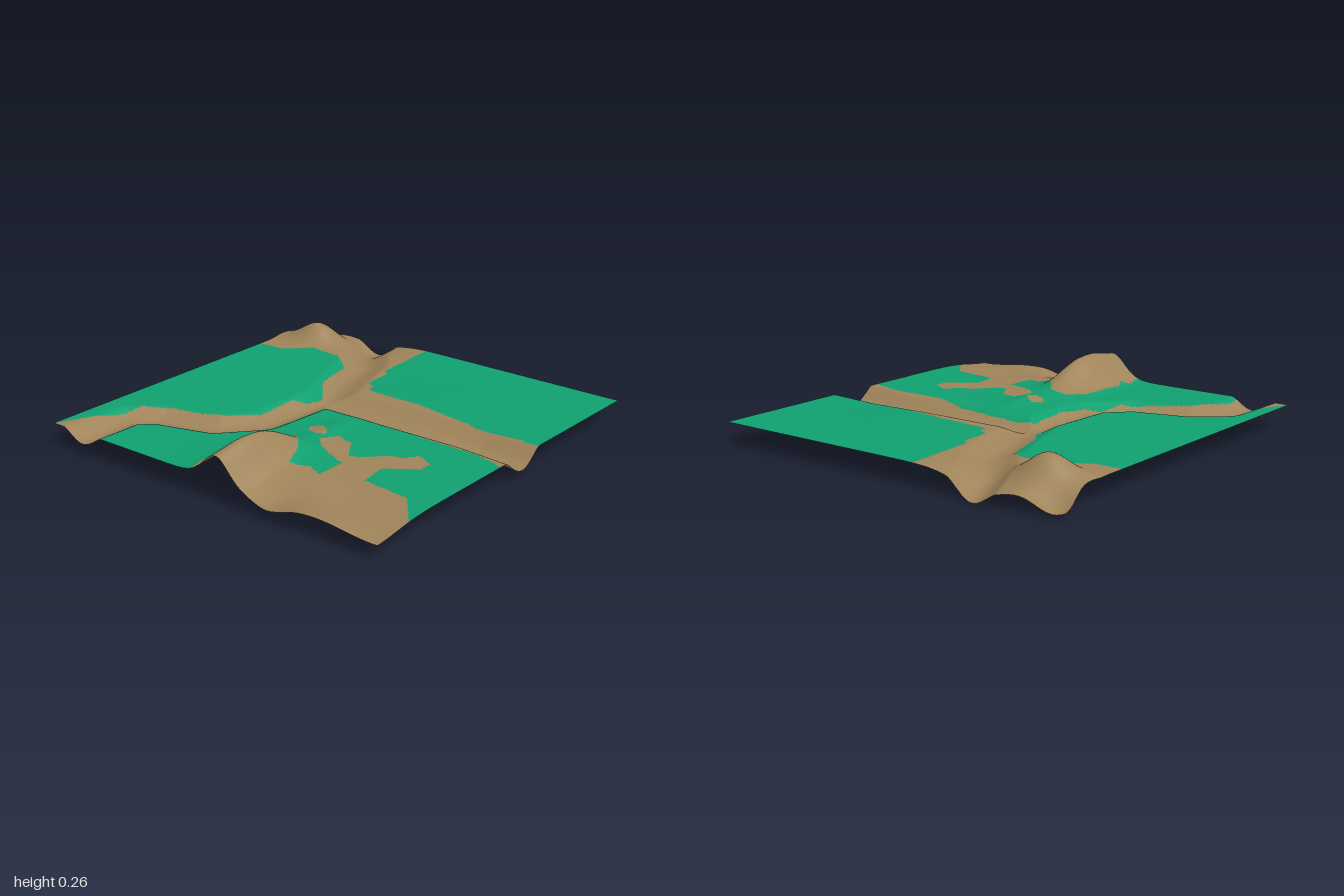
import * as THREE from 'three';

const BASE = 0.119;
const X0 = -0.98, X1 = 0.96, Z0 = -0.965, Z1 = 0.975;
const N = 180;

// Stream centre lines as [x, z, depth], with a half width each
const streams = [
  { w: 0.125, pts: [[-1.05, -0.77, 0.06], [-0.68, -0.76, 0.045], [-0.58, -0.64, 0.045], [-0.5, -0.36, 0.045], [-0.34, -0.21, 0.04], [0.1, -0.185, 0.05]] },
  { w: 0.14, pts: [[0.1, -0.185, 0.05], [0.3, -0.25, 0.035], [0.6, -0.34, 0.045], [0.8, -0.48, 0.05], [1.05, -0.56, 0.05]] },
  { w: 0.14, pts: [[0.1, -0.185, 0.05], [0.11, 0.3, 0.058], [0.12, 0.7, 0.073], [0.09, 1.05, 0.078]] },
];

// Outlines of the bare earth as x, z pairs
const outlines = {
  streamBanks: [
    -1.1, -1.02, -0.98, -0.96, -0.72, -0.85, -0.56, -0.8, -0.48, -0.67, -0.44, -0.51, -0.39, -0.4, -0.32, -0.33, -0.27, -0.29,
    -0.02, -0.29, 0.03, -0.24, 0.13, -0.23, 0.27, -0.34, 0.38, -0.37, 0.52, -0.4, 0.6, -0.51, 0.6, -0.68, 0.5, -0.82, 0.48, -1.1,
    1.1, -1.1, 1.1, -0.2, 0.56, -0.17, 0.55, -0.14, 0.38, -0.13, 0.35, -0.08, 0.3, -0.07, 0.29, 0.24, 0.26, 0.45, 0.24, 0.62,
    0.23, 1.1, -0.1, 1.1, -0.08, 0.975, -0.03, 0.8, -0.03, 0.5, 0.01, 0.32, 0.03, -0.05, 0.01, -0.13, -0.21, -0.12,
    -0.37, -0.16, -0.41, -0.23, -0.53, -0.27, -0.6, -0.4, -0.68, -0.59, -0.77, -0.65, -0.89, -0.68, -1.1, -0.67],
  hillside: [
    -1.1, -0.07, -0.98, -0.07, -0.86, -0.1, -0.84, -0.06, -0.77, -0.09, -0.51, -0.07, -0.43, 0, -0.43, 0.09, -0.5, 0.15, -0.56, 0.2,
    -0.67, 0.24, -0.62, 0.32, -0.65, 0.4, -0.49, 0.4, -0.48, 0.36, -0.42, 0.22, -0.36, 0.16, -0.27, 0.2, -0.29, 0.29,
    -0.41, 0.37, -0.39, 0.42, -0.3, 0.5, -0.27, 0.58, -0.21, 0.62, -0.25, 0.71, -0.33, 0.71, -0.38, 0.63, -0.43, 0.57,
    -0.57, 0.59, -0.6, 0.84, -0.77, 0.975, -0.8, 1.1, -1.1, 1.1],
  smallPatch: [-0.3, 0.04, -0.26, 0.02, -0.22, 0.06, -0.26, 0.12, -0.3, 0.15, -0.33, 0.11],
};

const bump = (x, z, cx, cz, sx, sz) => Math.exp(-(((x - cx) / sx) ** 2) - ((z - cz) / sz) ** 2);

function insidePolygon(p, x, z) {
  let inside = false;
  for (let i = 0, j = p.length - 2; i < p.length; j = i, i += 2) {
    if ((p[i + 1] > z) !== (p[j + 1] > z) &&
      x < ((p[j] - p[i]) * (z - p[i + 1])) / (p[j + 1] - p[i + 1]) + p[i]) inside = !inside;
  }
  return inside;
}

function streamDepth(x, z) {
  let depth = 0;
  for (const { w, pts } of streams) {
    for (let i = 0; i < pts.length - 1; i++) {
      const [ax, az, ad] = pts[i], [bx, bz, bd] = pts[i + 1];
      const dx = bx - ax, dz = bz - az;
      const t = THREE.MathUtils.clamp(((x - ax) * dx + (z - az) * dz) / (dx * dx + dz * dz), 0, 1);
      const d = Math.hypot(x - ax - t * dx, z - az - t * dz) / w;
      if (d < 1) depth = Math.max(depth, (ad + (bd - ad) * t) * (1 - d * d) ** 1.6);
    }
  }
  return depth;
}

function height(x, z) {
  let y = BASE - streamDepth(x, z);
  // Long western hill, steeper on its front side
  const fade = 1 - THREE.MathUtils.smoothstep(x, -0.72, -0.36);
  const side = z > 0.11 ? 0.085 : 0.12;
  y += (0.12 + 0.02 * bump(x, 0, -0.82, 0, 0.12, 1)) * fade * Math.exp(-(((z - 0.11) / side) ** 2));
  y += 0.022 * bump(x, z, -0.6, 0.12, 0.3, 0.2);
  y += 0.015 * bump(x, z, -0.22, 0.12, 0.14, 0.06);
  // Bare ground in the front left corner
  y -= 0.05 * bump(x, z, -1, 0.38, 0.16, 0.13);
  y -= 0.035 * bump(x, z, -1, 0.95, 0.2, 0.2);
  y -= 0.02 * bump(x, z, -0.8, 0.65, 0.15, 0.2);
  // Eastern peak beside its basin
  y += 0.1 * bump(x, z, 0.74, -0.76, 0.1, 0.13);
  y -= 0.06 * bump(x, z, 0.96, -0.58, 0.18, 0.2);
  y -= 0.09 * bump(x, z, 0.94, -0.93, 0.11, 0.12);
  // Slight swell in the eastern meadow
  y += 0.008 * bump(x, z, 0.4, 0.3, 0.15, 0.2);
  return Math.max(y, 0);
}

export function createModel() {
  const grassGreen = new THREE.MeshStandardMaterial({ color: 0x10a070, side: THREE.DoubleSide });
  const earthBrown = new THREE.MeshStandardMaterial({ color: 0xa0845a, side: THREE.DoubleSide });

  const sheet = new THREE.PlaneGeometry(X1 - X0, Z1 - Z0, N, N);
  sheet.rotateX(-Math.PI / 2);
  sheet.translate((X0 + X1) / 2, 0, (Z0 + Z1) / 2);
  const pos = sheet.attributes.position;
  const flat = pos.clone();

  // Raise the sheet and let the bare edges bulge outwards
  for (let i = 0; i < pos.count; i++) {
    const x = pos.getX(i), z = pos.getZ(i);
    const east = 0.04 * bump(x, z, X1, -0.62, 0.2, 0.15);
    const west = 0.02 * bump(x, z, X0, 0.1, 0.1, 0.12) + 0.015 * bump(x, z, X0, 0.45, 0.1, 0.15);
    const back = 0.022 * bump(x, z, 0.92, Z0, 0.12, 0.1) + 0.012 * bump(x, z, 0.68, Z0, 0.06, 0.1);
    pos.setXYZ(i, x + east - west, height(x, z), z - back);
  }
  sheet.computeVertexNormals();

  // Sort the triangles into grass and bare earth
  const grass = [], earth = [];
  const index = sheet.index;
  for (let i = 0; i < index.count; i += 3) {
    const tri = [index.getX(i), index.getX(i + 1), index.getX(i + 2)];
    const x = tri.reduce((s, v) => s + flat.getX(v), 0) / 3;
    const z = tri.reduce((s, v) => s + flat.getZ(v), 0) / 3;
    const bare = Object.values(outlines).some((p) => insidePolygon(p, x, z));
    (bare ? earth : grass).push(...tri);
  }

  const group = new THREE.Group();
  group.name = 'terrain';
  for (const [name, list, material] of [['grass', grass, grassGreen], ['bareEarth', earth, earthBrown]]) {
    const geometry = new THREE.BufferGeometry();
    geometry.setAttribute('position', pos);
    geometry.setAttribute('normal', sheet.attributes.normal);
    geometry.setIndex(list);
    const mesh = new THREE.Mesh(geometry, material);
    mesh.name = name;
    group.add(mesh);
  }
  return group;
}
